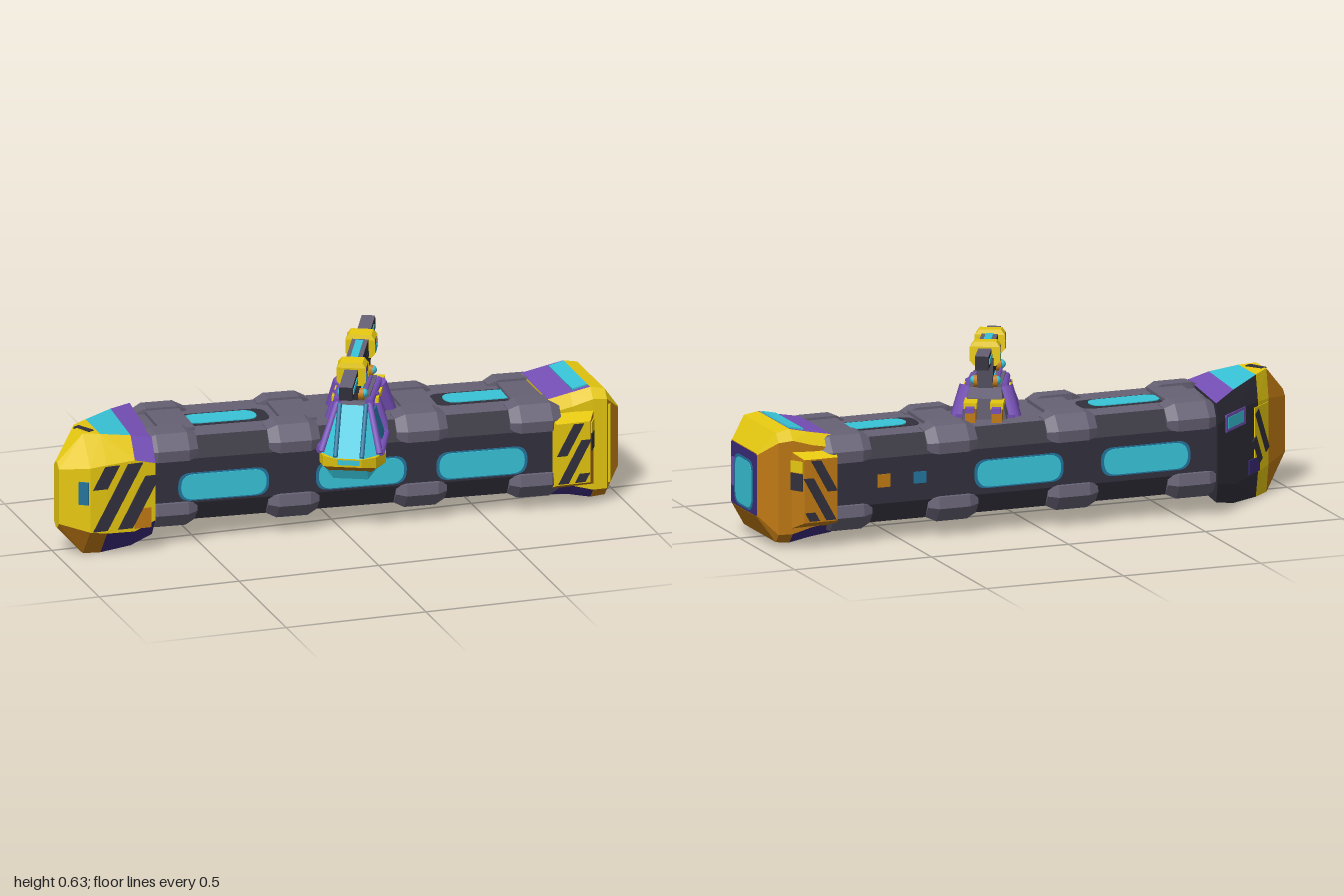
import * as THREE from 'three';
import { ConvexGeometry } from 'three/addons/geometries/ConvexGeometry.js';

const mat = (name, color) => {
  const m = new THREE.MeshStandardMaterial({ color });
  m.name = name;
  return m;
};
const yellow = mat('yellow', 0xe6c810), orange = mat('orange', 0xc07a14), cyan = mat('cyan', 0x38c4d8),
  teal = mat('deep teal', 0x23749c), purple = mat('purple', 0x7650b8), violet = mat('deep violet', 0x3c2c7c),
  gray = mat('gray', 0x666174), dark = mat('dark', 0x32303c);

const V = (x, y, z) => new THREE.Vector3(x, y, z);
const pair = (x, y, z) => [V(x, y, z), V(-x, y, z)];

function add(parent, name, geo, material, x = 0, y = 0, z = 0) {
  const m = new THREE.Mesh(geo, material);
  m.name = name;
  m.position.set(x, y, z);
  parent.add(m);
  return m;
}

const box = (parent, name, material, w, h, d, x, y, z) =>
  add(parent, name, new THREE.BoxGeometry(w, h, d), material, x, y, z);

// Convex block; pick(normal) chooses the colour of each face
function hull(parent, name, pts, pick) {
  const p = new ConvexGeometry(pts).attributes.position;
  const buckets = new Map(), tri = new THREE.Triangle(), n = new THREE.Vector3();
  for (let i = 0; i < p.count; i += 3) {
    tri.setFromAttributeAndIndices(p, i, i + 1, i + 2);
    tri.getNormal(n);
    const m = pick.isMaterial ? pick : pick(n);
    if (!buckets.has(m)) buckets.set(m, []);
    for (const v of [tri.a, tri.b, tri.c]) buckets.get(m).push(v.x, v.y, v.z);
  }
  const geo = new THREE.BufferGeometry(), all = [], mats = [];
  for (const [m, arr] of buckets) {
    geo.addGroup(all.length / 3, arr.length / 3, mats.length);
    mats.push(m);
    all.push(...arr);
  }
  geo.setAttribute('position', new THREE.Float32BufferAttribute(all, 3));
  geo.computeVertexNormals();
  return add(parent, name, geo, mats);
}

// Chamfered rectangle across x, with separate front and back chamfers; skew slants it in plan
function section(x, zb, zf, y0, y1, cy, czf, czb = czf, skew = 0) {
  return [[y0 + cy, zf], [y1 - cy, zf], [y1, zf - czf], [y1, zb + czb],
    [y1 - cy, zb], [y0 + cy, zb], [y0, zb + czb], [y0, zf - czf]]
    .map(([y, z]) => V(x - skew * (z - zb), y, z));
}

// Thin rounded plate facing +z
function plate(parent, name, material, w, h, r) {
  const s = new THREE.Shape(), a = w / 2, b = h / 2;
  s.moveTo(-a + r, -b);
  s.lineTo(a - r, -b); s.quadraticCurveTo(a, -b, a, -b + r);
  s.lineTo(a, b - r); s.quadraticCurveTo(a, b, a - r, b);
  s.lineTo(-a + r, b); s.quadraticCurveTo(-a, b, -a, b - r);
  s.lineTo(-a, -b + r); s.quadraticCurveTo(-a, -b, -a + r, -b);
  return add(parent, name, new THREE.ExtrudeGeometry(s, { depth: 0.006, bevelEnabled: false }), material);
}

// Slanted warning stripe in the xy plane
function stripe(parent, x, y0, y1, w, z) {
  const e = x + (y1 - y0) * 0.55;
  const s = new THREE.Shape([[x, y0], [x + w, y0], [e + w, y1], [e, y1]].map(q => new THREE.Vector2(...q)));
  add(parent, 'warningStripe', new THREE.ExtrudeGeometry(s, { depth: 0.008, bevelEnabled: false }), dark, 0, 0, z);
}

// Round bar between two points
function bar(parent, name, a, b, r, material) {
  const d = b.clone().sub(a);
  const m = add(parent, name, new THREE.CylinderGeometry(r, r, d.length(), 8), material);
  m.position.copy(a).addScaledVector(d, 0.5);
  m.quaternion.setFromUnitVectors(V(0, 1, 0), d.normalize());
}

function buildBeam() {
  const g = new THREE.Group();
  g.name = 'beam';
  g.position.set(0, 0.222, -0.072);
  g.rotation.set(0, -0.048, -0.014);
  const body = (x, skew) => section(x, -0.19, 0.19, -0.15, 0.148, 0.07, 0.035, 0.035, skew);
  hull(g, 'beamBody', [...body(-0.635, 0.13), ...body(0.77, 0)], n => (n.y > 0.9 ? gray : dark));

  // Corner clamps
  const profile = [[0.17, 0.07], [0.2, 0.075], [0.206, 0.115], [0.165, 0.166], [0.09, 0.17], [0.09, 0.14]];
  for (const [back, front] of [[-0.55, -0.59], [-0.12, -0.16], [0.31, 0.29], [0.69, 0.69]]) {
    for (const sy of [-1, 1]) for (const sz of [-1, 1]) {
      const pts = [];
      for (const [dx, k] of [[-0.09, 0.75], [-0.055, 1], [0.055, 1], [0.09, 0.75]])
        for (const [z, y] of profile)
          pts.push(V((sz < 0 ? back : front) + dx, sy * (0.1 + (y - 0.1) * k), sz * (0.13 + (z - 0.13) * k)));
      hull(g, 'cornerClamp', pts, gray);
    }
    box(g, 'clampTop', gray, 0.12, 0.012, 0.22, back, 0.156, 0);
  }

  // Glowing windows: turn axis, turn angle, y, z, window centres
  const sides = [
    ['y', 0, -0.022, 0.186, [-0.41, 0.075, 0.5]],
    ['y', Math.PI, -0.01, -0.186, [-0.38, 0.075]],
    ['x', -Math.PI / 2, 0.144, 0, [-0.37, 0.54]],
    ['x', Math.PI / 2, -0.146, 0, [-0.37, 0.09, 0.51]]
  ];
  for (const [axis, angle, y, z, xs] of sides) for (const x of xs) {
    const wall = axis === 'y', len = wall ? 0.3 : 0.25;
    const layers = [['windowRim', wall ? teal : dark, wall ? 0.32 : 0.33, wall ? 0.1 : 0.12, 0], ['window', cyan, len, 0.09, 0.003]];
    for (const [name, m, w, h, lift] of layers) {
      const p = plate(g, name, m, w, h, 0.045);
      p.rotation[axis] = angle;
      p.position.set(x, y + (wall ? 0 : Math.sign(y) * lift), z + Math.sign(z) * lift);
    }
  }
  // Small service hatches on the back
  box(g, 'serviceHatch', orange, 0.045, 0.045, 0.01, 0.56, 0, -0.19);
  box(g, 'serviceHatch', teal, 0.045, 0.04, 0.01, 0.43, 0, -0.19);
  return g;
}

function buildLeftCap() {
  const g = new THREE.Group();
  g.name = 'slantedEndCap';
  const s = [
    section(-0.62, -0.314, 0.13, 0.045, 0.39, 0.07, 0.06, 0.02, 0.12),
    section(-0.72, -0.224, 0.135, 0.015, 0.41, 0.07, 0.06, 0.02, 0.08),
    section(-0.85, -0.108, 0.14, 0, 0.425, 0.09, 0.07, 0.02),
    section(-0.91, -0.055, 0.14, 0, 0.43, 0.1, 0.08, 0.02),
    section(-1, 0.02, 0.075, 0.1, 0.335, 0.02, 0.02)
  ];
  const paint = (top, chamfer) => n => {
    if (n.x > 0.8) return dark;
    if (n.z < -0.3) return n.y > 0.3 ? purple : dark;
    if (n.y > 0.85) return top;
    if (n.y > 0.3) return chamfer;
    if (n.y < -0.9) return dark;
    return n.y < -0.3 ? violet : yellow;
  };
  const tipPaint = n => (n.y < -0.9 ? dark : n.y < -0.3 ? orange : yellow);
  hull(g, 'capPurpleBand', [...s[0], ...s[1]], paint(purple, purple));
  hull(g, 'capCyanBand', [...s[1], ...s[2]], paint(cyan, yellow));
  hull(g, 'capShoulder', [...s[2], ...s[3]], tipPaint);
  hull(g, 'capTip', [...s[3], ...s[4]], n => (n.y < -0.3 || n.z < -0.3 ? orange : yellow));
  // Painted front
  for (const [x, y0, y1] of [[-0.9, 0.1, 0.33], [-0.81, 0.1, 0.28], [-0.9, 0.25, 0.33]])
    stripe(g, x, y0, y1, 0.052, 0.134);
  box(g, 'capLamp', teal, 0.035, 0.08, 0.008, -0.93, 0.24, 0.132).rotation.y = -0.6;
  box(g, 'frontPatch', orange, 0.06, 0.07, 0.008, -0.72, 0.13, 0.134);
  box(g, 'topStripe', dark, 0.025, 0.008, 0.07, -0.89, 0.426, 0.01).rotation.y = 0.5;

  // Painted slanted back face
  const slant = new THREE.Group();
  slant.name = 'slantFace';
  slant.position.set(-0.78, 0, -0.171);
  slant.rotation.y = -2.41;
  g.add(slant);
  box(slant, 'yellowPanel', yellow, 0.1, 0.21, 0.006, 0.115, 0.215, 0);
  for (const [x, y, len] of [[0.12, 0.23, 0.17], [0.085, 0.17, 0.1]])
    box(slant, 'warningStripe', dark, 0.03, len, 0.009, x, y, 0).rotation.z = 0.5;
  box(slant, 'violetPatch', violet, 0.08, 0.05, 0.006, 0.06, 0.12, 0.001);
  box(slant, 'slotRim', purple, 0.15, 0.06, 0.005, -0.08, 0.31, 0);
  box(slant, 'slotLight', cyan, 0.12, 0.04, 0.008, -0.08, 0.31, 0);
  return g;
}

function buildRightCap() {
  const g = new THREE.Group();
  g.name = 'squareEndCap';
  const a = section(0.74, -0.215, 0.13, 0.04, 0.38, 0.04, 0.03),
    b = section(0.82, -0.215, 0.13, 0.03, 0.395, 0.04, 0.03),
    c = section(0.89, -0.21, 0.135, 0.015, 0.41, 0.035, 0.03),
    d = section(0.94, -0.205, 0.135, 0.02, 0.4, 0.03, 0.025),
    e = section(0.995, -0.145, 0.088, 0.105, 0.325, 0.005, 0.005);
  const paint = n => (n.y > 0.85 ? purple : n.y < -0.45 ? violet : n.z < -0.2 && n.y < 0.3 ? orange : yellow);
  hull(g, 'collarEdge', [...a, ...b], paint);
  hull(g, 'collar', [...b, ...c], paint);
  hull(g, 'endBlock', [...c, ...d], n => (n.y < -0.3 || (n.z < -0.3 && n.y < 0.3) ? orange : yellow));
  hull(g, 'endBevel', [...d, ...e], n => (n.y > 0.3 ? yellow : orange));
  box(g, 'frontBevelEdge', yellow, 0.008, 0.28, 0.022, 0.946, 0.21, 0.124).rotation.y = 0.7;

  // Raised striped pads, front and back
  for (const [zo, zi, face] of [[0.182, 0.12, yellow], [-0.255, -0.2, orange]]) {
    const pts = [];
    for (const x of [0.745, 0.865]) for (const y of [0.095, 0.315]) pts.push(V(x, y, zo));
    for (const x of [0.73, 0.9]) for (const y of [0.065, 0.34]) pts.push(V(x, y, zi));
    hull(g, 'sidePad', pts, n => (n.y < -0.3 || n.x > 0.4 ? orange : n.y > 0.3 ? yellow : face));
    for (const [x, y0, y1] of [[0.75, 0.1, 0.25], [0.745, 0.2, 0.31], [0.81, 0.1, 0.13]])
      stripe(g, x, y0, y1, 0.036, zo - 0.004);
    const mid = (zo + zi) / 2, turn = Math.atan2(zi - zo, 0.035);
    box(g, 'padStripe', dark, 0.05, 0.06, 0.008, 0.882, 0.235, mid).rotation.y = -turn;
    box(g, 'padEdge', yellow, 0.05, 0.04, 0.008, 0.882, 0.288, mid).rotation.y = -turn;
  }

  // Square end light
  const layers = [['endFrame', violet, 0.23, 0.215, 0.01, 0.215, -0.03, 0.991], ['frameGlow', purple, 0.03, 0.1, 0.01, 0.22, 0.066, 0.9925],
    ['lightRim', teal, 0.165, 0.176, 0.04, 0.203, -0.03, 0.9925], ['endLight', cyan, 0.145, 0.16, 0.04, 0.203, -0.032, 0.994]];
  for (const [name, m, w, h, r, y, z, x] of layers) {
    const p = plate(g, name, m, w, h, r);
    p.rotation.y = Math.PI / 2;
    p.position.set(x, y, z);
  }
  box(g, 'topLight', cyan, 0.055, 0.008, 0.25, 0.86, 0.405, -0.04).rotation.z = 0.21;
  return g;
}

function buildTurret() {
  const g = new THREE.Group();
  g.name = 'turret';
  g.position.set(0.085, 0, 0.02);
  g.rotation.y = -0.45;

  // Lower tub, rounded nose and glazed cabin
  hull(g, 'tub', [...pair(0.06, 0.205, 0.18), ...pair(0.1, 0.26, 0.18), ...pair(0.108, 0.32, 0.15),
    ...pair(0.06, 0.29, 0.225), ...pair(0.1, 0.23, -0.14), ...pair(0.1, 0.38, -0.15)],
  n => (n.z > 0.4 ? cyan : n.y < -0.5 ? violet : purple));
  hull(g, 'noseBumper', [...pair(0.045, 0.265, 0.236), ...pair(0.045, 0.295, 0.24), ...pair(0.09, 0.255, 0.205),
    ...pair(0.09, 0.295, 0.21), ...pair(0.116, 0.255, 0.14), ...pair(0.116, 0.29, 0.14), ...pair(0.07, 0.235, 0.19),
    ...pair(0.108, 0.25, 0.07), ...pair(0.108, 0.28, 0.07)], n => (n.y < -0.3 ? orange : yellow));
  box(g, 'noseLight', cyan, 0.075, 0.018, 0.006, 0, 0.282, 0.237);
  hull(g, 'canopyGlass', [...pair(0.045, 0.295, 0.235), ...pair(0.1, 0.295, 0.18), ...pair(0.05, 0.445, 0.11),
    ...pair(0.06, 0.465, -0.1), ...pair(0.098, 0.35, -0.14)],
  n => (n.y > 0.9 || n.z < -0.4 ? gray : Math.abs(n.x) > 0.85 ? purple : cyan));
  box(g, 'roof', gray, 0.11, 0.025, 0.2, 0, 0.465, -0.01);
  box(g, 'roofPanel', cyan, 0.05, 0.008, 0.11, 0, 0.48, -0.01);
  for (const s of [-1, 1]) {
    const P = (x, y, z) => V(s * x, y, z);
    bar(g, 'frontPillar', P(0.045, 0.3, 0.235), P(0.045, 0.45, 0.115), 0.008, teal);
    bar(g, 'cornerPillar', P(0.1, 0.3, 0.185), P(0.055, 0.45, 0.1), 0.012, purple);
    bar(g, 'middlePillar', P(0.1, 0.33, 0.03), P(0.06, 0.46, 0.02), 0.018, purple);
    bar(g, 'rearPillar', P(0.096, 0.34, -0.11), P(0.06, 0.462, -0.08), 0.032, purple);
    bar(g, 'roofRail', P(0.055, 0.455, 0.11), P(0.062, 0.465, -0.1), 0.014, purple);
    bar(g, 'beltRail', P(0.103, 0.305, 0.18), P(0.1, 0.355, -0.14), 0.015, purple);
    bar(g, 'roofHandle', P(0.04, 0.488, 0.07), P(0.04, 0.49, -0.06), 0.006, purple);
    hull(g, 'sideWindow', [P(0.102, 0.335, 0.14), P(0.102, 0.335, 0.055), P(0.071, 0.425, 0.1), P(0.071, 0.425, 0.045),
      P(0.09, 0.335, 0.1), P(0.06, 0.425, 0.08)], teal);
    box(g, 'sideMarker', yellow, 0.012, 0.018, 0.12, s * 0.074, 0.447, 0);
    box(g, 'rearVent', orange, 0.035, 0.06, 0.06, s * 0.045, 0.385, -0.19);
    box(g, 'rearVentCap', yellow, 0.045, 0.02, 0.08, s * 0.045, 0.428, -0.19);
    box(g, 'rearVentTail', purple, 0.03, 0.018, 0.03, s * 0.045, 0.418, -0.245);
  }
  hull(g, 'rearHousing', [...pair(0.05, 0.48, -0.08), ...pair(0.06, 0.44, -0.17), ...pair(0.08, 0.34, -0.17), ...pair(0.09, 0.34, -0.1)], gray);

  // Gun mounts
  hull(g, 'frontMount', [...pair(0.02, 0.47, 0.13), ...pair(0.02, 0.48, 0.08), ...pair(0.028, 0.55, 0.15), ...pair(0.028, 0.56, -0.05)], dark);
  hull(g, 'rearMount', [...pair(0.025, 0.47, -0.1), ...pair(0.025, 0.47, -0.14), ...pair(0.03, 0.57, -0.05), ...pair(0.03, 0.58, -0.18)],
    n => (n.z < -0.3 ? gray : dark));
  for (const z of [0.12, -0.12]) for (const s of [-1, 1]) {
    const ring = add(g, 'mountJoint', new THREE.CylinderGeometry(0.021, 0.021, 0.02, 8), orange, s * 0.03, 0.49, z);
    ring.rotation.z = Math.PI / 2;
    add(g, 'mountLamp', new THREE.SphereGeometry(0.016, 10, 8), cyan, s * 0.037, 0.494, z);
  }

  // Gun with two clamping rings
  const gun = new THREE.Group();
  gun.name = 'gun';
  gun.position.set(0, 0.576, 0);
  gun.rotation.x = 0.065;
  g.add(gun);
  const grayTop = [dark, dark, gray, dark, dark, dark];
  box(gun, 'barrel', grayTop, 0.046, 0.048, 0.63, 0, 0, 0);
  box(gun, 'barrelSleeve', grayTop, 0.056, 0.062, 0.26, 0, 0.002, 0.01);
  box(gun, 'sleeveLight', cyan, 0.026, 0.008, 0.16, 0, 0.033, 0.01);
  for (const z of [0.128, -0.117]) {
    const pts = [];
    for (const dz of [-0.032, 0.032]) pts.push(...pair(0.038, -0.035, z + dz), ...pair(0.05, -0.02, z + dz),
      ...pair(0.05, 0.03, z + dz), ...pair(0.038, 0.047, z + dz * 0.85));
    hull(gun, 'gunRing', pts, n => (Math.abs(n.z) > 0.6 || n.y > 0.3 ? yellow : n.y < -0.3 ? orange : purple));
    for (const s of [-1, 1]) {
      box(gun, 'ringLight', cyan, 0.008, 0.024, 0.03, s * 0.048, -0.008, z + 0.003);
      box(gun, 'ringEdge', yellow, 0.008, 0.05, 0.012, s * 0.048, 0.005, z - 0.027);
    }
  }
  for (const s of [-1, 1]) for (const z of [0.24, -0.22])
    box(gun, 'barrelLight', cyan, 0.006, 0.018, 0.11, s * 0.023, 0, z);
  return g;
}

export function createModel() {
  const model = new THREE.Group();
  model.name = 'armedBeam';
  model.add(buildBeam(), buildLeftCap(), buildRightCap(), buildTurret());
  return model;
}
